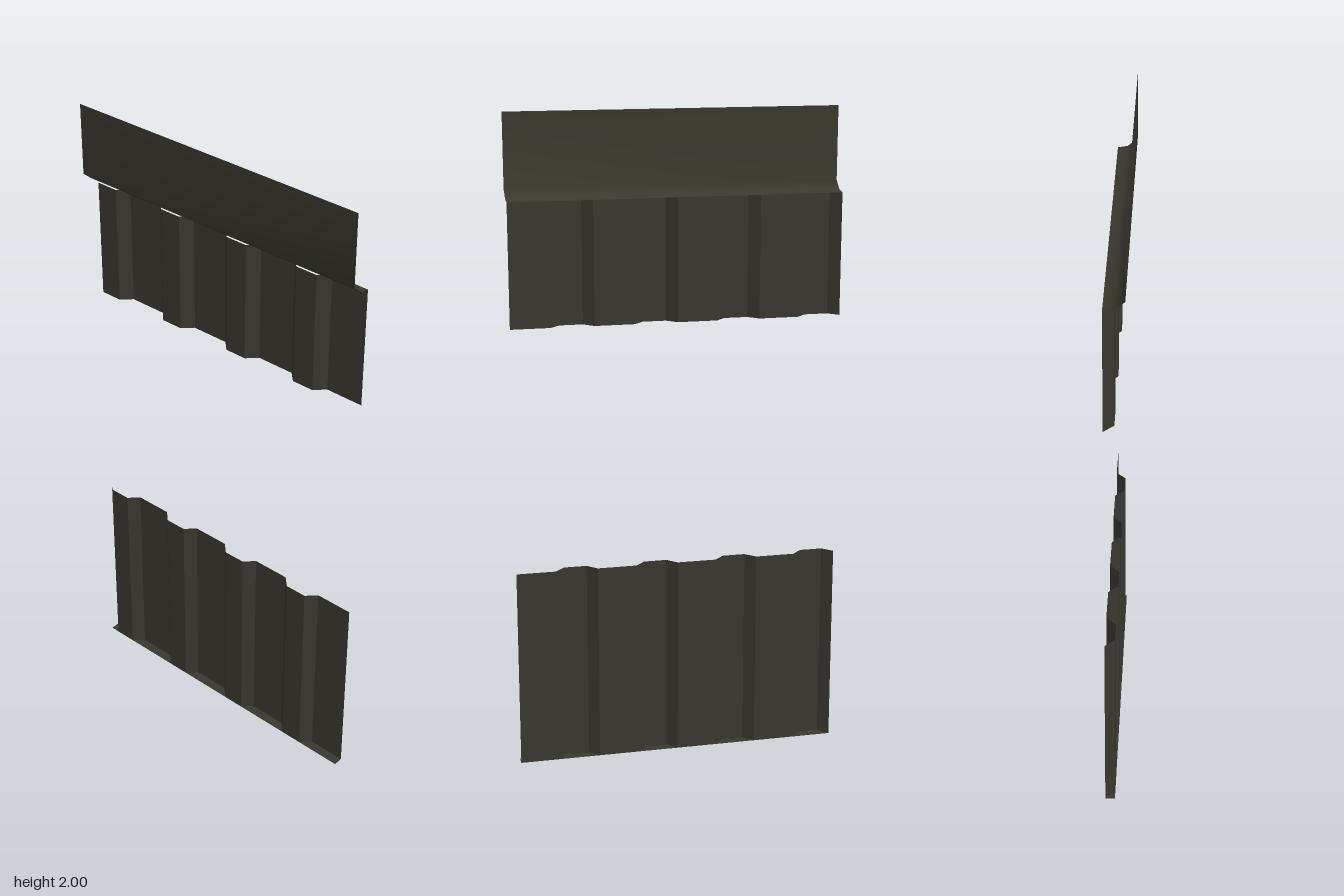
import * as THREE from 'three';

const DEPTH = 0.03;      // corrugation depth
const PITCH = 0.25;      // length of one corrugation
const HALF = 0.5;        // half the panel length

// Sweep a line of [x, y, z] points along an offset into an open sheet.
function sweep(points, offset, smooth = false) {
  const positions = [], index = [], n = points.length;
  for (const p of points) positions.push(...p);
  for (const p of points) positions.push(...p.map((v, k) => v + offset[k]));
  for (let i = 0; i < n - 1; i++) {
    index.push(i, i + 1, n + i + 1, i, n + i + 1, n + i);
  }
  let geometry = new THREE.BufferGeometry();
  geometry.setAttribute('position', new THREE.Float32BufferAttribute(positions, 3));
  geometry.setIndex(index);
  if (!smooth) geometry = geometry.toNonIndexed();
  geometry.computeVertexNormals();
  return geometry;
}

// Trapezoid corrugation running from front to back.
function corrugation(y) {
  const points = [[DEPTH, y, HALF]];
  for (let i = 0; i < 4; i++) {
    const z = HALF - i * PITCH;
    points.push([DEPTH, y, z - 0.12], [0, y, z - 0.15], [0, y, z - 0.22], [DEPTH, y, z - PITCH]);
  }
  return points;
}

export function createModel() {
  const group = new THREE.Group();
  const metal = new THREE.MeshStandardMaterial({ color: 0x3a392f, side: THREE.DoubleSide });
  metal.name = 'darkMetal';

  const add = (name, geometry) => {
    const mesh = new THREE.Mesh(geometry, metal);
    mesh.name = name;
    group.add(mesh);
  };

  // Corrugated wall sheets below and above the window gap
  add('lowerSheet', sweep(corrugation(0), [0, 0.625, 0]));
  add('upperSheet', sweep(corrugation(1.38), [0, 0.37, 0]));

  // Flat parapet with a sloped flashing over the upper sheet
  const cap = [[-DEPTH, 2, HALF], [-DEPTH, 1.78, HALF], [0, 1.755, HALF], [DEPTH, 1.75, HALF]];
  add('parapetFlashing', sweep(cap, [0, 0, -2 * HALF], true));

  // Flat strip closing the foot of the lower sheet
  add('footStrip', sweep([[DEPTH, 0, HALF], [0, 0, HALF]], [0, 0, -2 * HALF]));

  return group;
}
